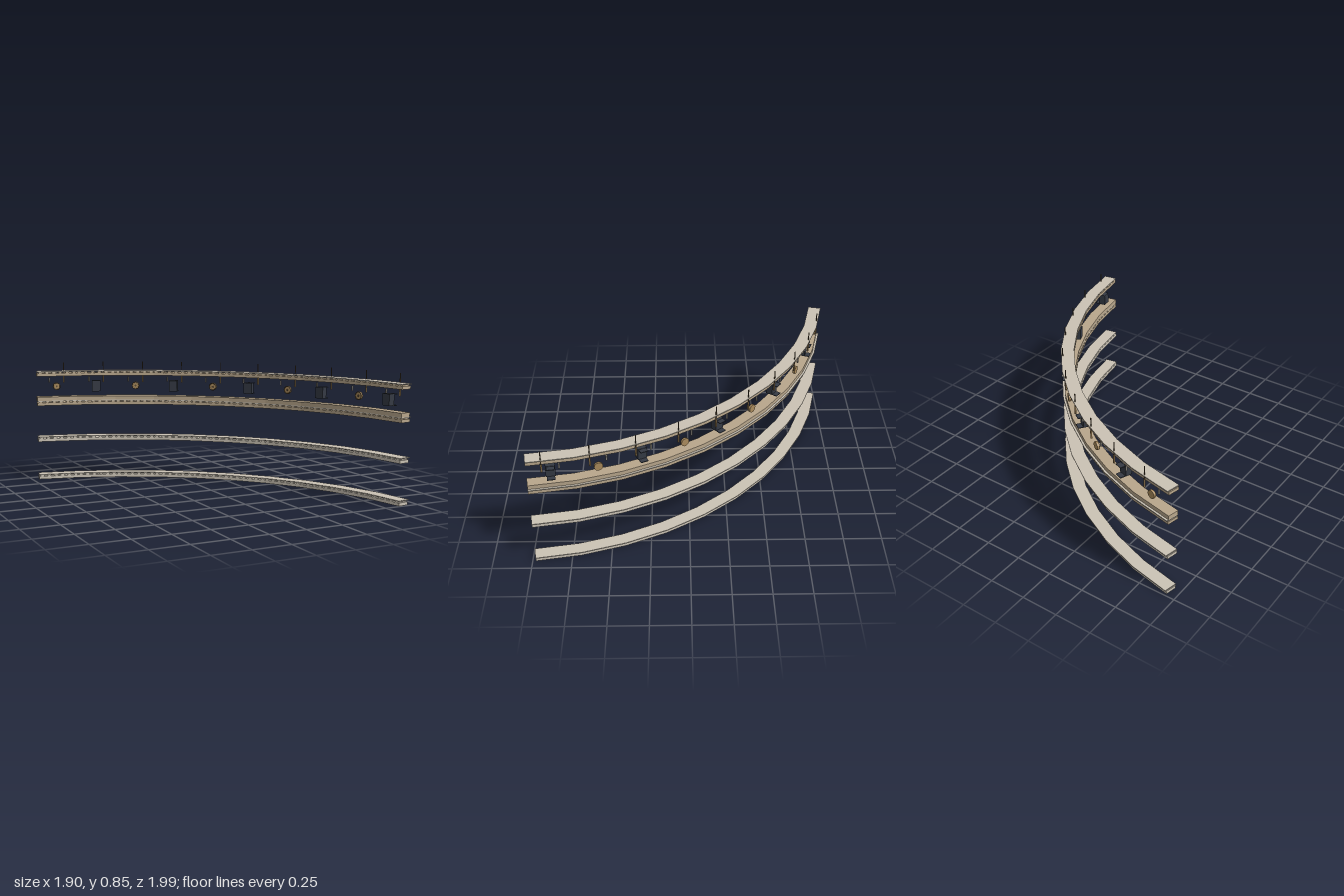
import * as THREE from 'three';

const CX = -1.281, CZ = 1.216;      // centre of the arc
const R = 2.19, LEN = 0.293;        // radius at a bay's middle, bay length
const STEP = 7.5, START = 12.65, BAYS = 10;

const mat = (color) => new THREE.MeshStandardMaterial({ color });
const stone = mat(0xcbc3b5), wood = mat(0xb9a78c), brass = mat(0xa98a5c);
const bronze = mat(0x5c4c36), steel = mat(0x8c8880), dark = mat(0x353a44);

function add(parent, name, geometry, material, x, y, z) {
  const mesh = new THREE.Mesh(geometry, material);
  mesh.name = name;
  mesh.position.set(x, y, z);
  parent.add(mesh);
  return mesh;
}
const box = (p, name, m, w, h, d, x, y, z) =>
  add(p, name, new THREE.BoxGeometry(w, h, d), m, x, y, z);
const rod = (p, name, m, r, y0, y1, x, z) =>
  add(p, name, new THREE.CylinderGeometry(r, r, y1 - y0, 10), m, x, (y0 + y1) / 2, z);

// One straight length of ring: lower beam, spacer ribs and thin deck
function ringBay(bay, y, material) {
  const ring = new THREE.Group();
  ring.name = 'ringSection';
  ring.position.y = y;
  box(ring, 'lowerBeam', material, LEN, 0.021, 0.078, 0, 0.0105, -0.006);
  for (let i = 0; i < 6; i++) {
    box(ring, 'spacerRib', material, 0.024, 0.008, 0.076, (i - 2.5) * LEN / 6, 0.025, -0.006);
  }
  box(ring, 'deck', stone, LEN, 0.006, 0.09, 0, 0.032, 0);
  bay.add(ring);
}

// Round lamp facing the middle of the arc
function roundLamp(bay) {
  const lamp = new THREE.Group();
  lamp.name = 'roundLamp';
  lamp.position.set(0, 0.675, 0.025);
  add(lamp, 'lampDrum', new THREE.CylinderGeometry(0.028, 0.028, 0.014, 20), brass, 0, 0, 0)
    .rotation.x = Math.PI / 2;
  add(lamp, 'lampRim', new THREE.TorusGeometry(0.025, 0.003, 6, 20), bronze, 0, 0, -0.007);
  add(lamp, 'lampHub', new THREE.CylinderGeometry(0.007, 0.007, 0.006, 10), bronze, 0, 0, -0.009)
    .rotation.x = Math.PI / 2;
  bay.add(lamp);
}

// Dark cabinet with arms reaching outward above and below
function cabinet(bay) {
  const unit = new THREE.Group();
  unit.name = 'cabinet';
  unit.position.set(0, 0.678, -0.014);
  box(unit, 'cabinetBody', dark, 0.06, 0.078, 0.046, 0, 0, 0);
  for (const s of [-1, 1]) {
    box(unit, 'cabinetArm', dark, 0.05, 0.005, 0.04, 0, s * 0.037 - 0.003, 0.037);
  }
  bay.add(unit);
}

export function createModel() {
  const model = new THREE.Group();
  model.name = 'curvedGallery';
  for (let i = 0; i < BAYS; i++) {
    const a = THREE.MathUtils.degToRad(START + i * STEP);
    const bay = new THREE.Group();
    bay.name = 'bay';
    bay.position.set(CX + R * Math.sin(a), 0, CZ - R * Math.cos(a));
    bay.rotation.y = Math.PI - a;   // local +z points outward

    // Four stacked rings, the third with a raised wooden band
    ringBay(bay, 0, stone);
    ringBay(bay, 0.278, stone);
    ringBay(bay, 0.542, wood);
    box(bay, 'raisedBand', wood, LEN, 0.028, 0.076, 0, 0.591, -0.007);
    ringBay(bay, 0.755, wood);

    // Hangers and alternating fixtures below the top ring
    rod(bay, 'hangerRod', bronze, 0.0035, 0.70, 0.85, -0.053, 0.035);
    rod(bay, 'hangerSleeve', brass, 0.006, 0.70, 0.756, -0.053, 0.035);
    rod(bay, 'shortPost', steel, 0.0065, 0.705, 0.741, 0.053, 0.02);
    if (i % 2) cabinet(bay);
    else roundLamp(bay);
    model.add(bay);
  }
  return model;
}
